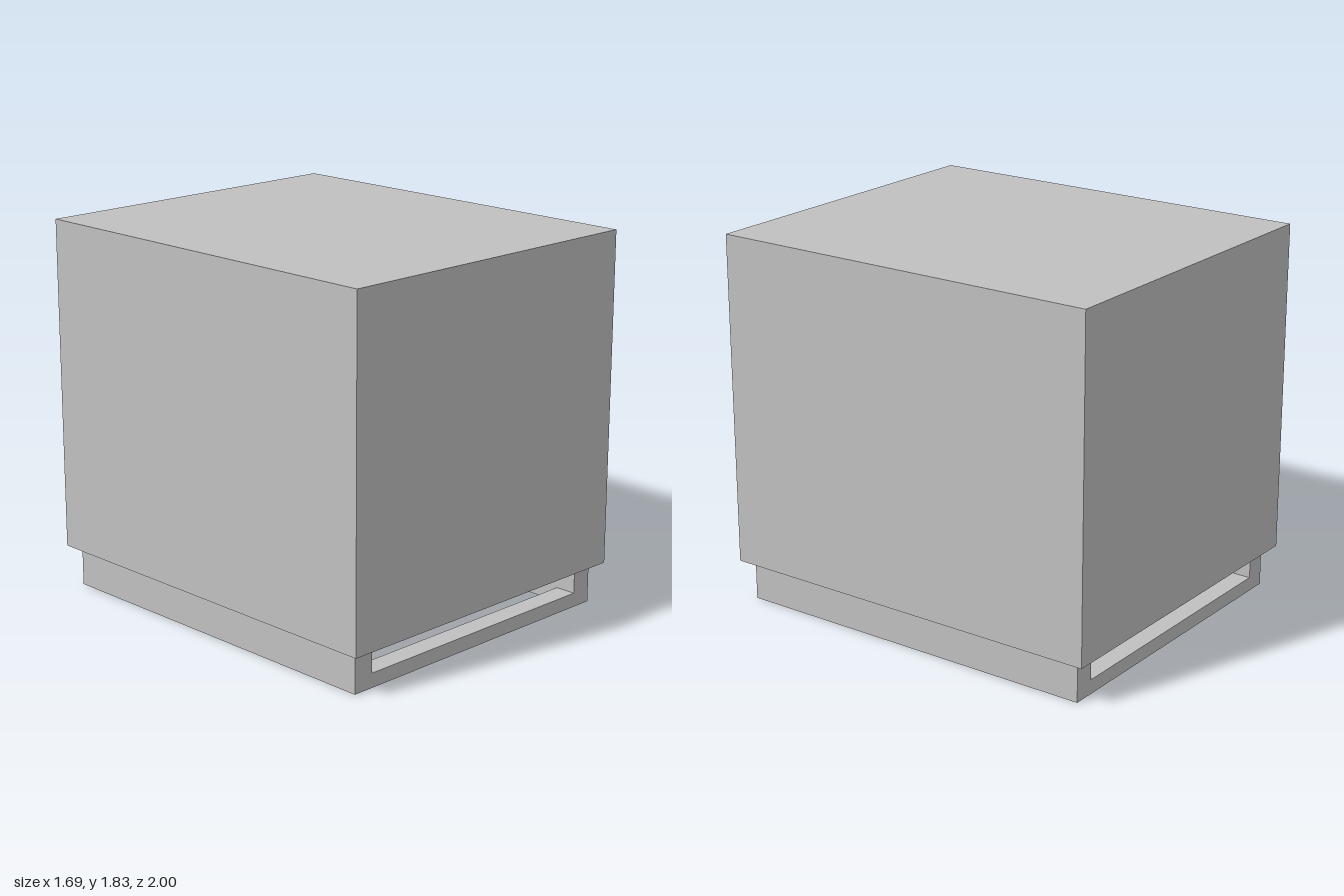
import * as THREE from 'three';

// Rectangular path centred on x = 0
function rect(PathType, halfW, y0, y1) {
  const p = new PathType();
  p.moveTo(-halfW, y0);
  p.lineTo(halfW, y0);
  p.lineTo(halfW, y1);
  p.lineTo(-halfW, y1);
  p.closePath();
  return p;
}

// Rectangular plate with one rectangular opening
function framedPlate(outer, hole, depth) {
  const shape = rect(THREE.Shape, ...outer);
  shape.holes.push(rect(THREE.Path, ...hole));
  return new THREE.ExtrudeGeometry(shape, { depth, bevelEnabled: false });
}

export function createModel() {
  const grey = new THREE.MeshStandardMaterial({ color: 0xc0c0c0 });
  grey.name = 'light grey';
  const model = new THREE.Group();
  model.name = 'cabinetOnPlinth';

  const add = (name, geometry, x, y, z) => {
    const mesh = new THREE.Mesh(geometry, grey);
    mesh.name = name;
    mesh.position.set(x, y, z);
    model.add(mesh);
    return mesh;
  };

  const bodyX = 0.845, bodyZ = 1, bodyBottom = 0.2, bodyTop = 1.83;
  const baseX = 0.795, baseZ = 0.945, wall = 0.105;
  const underside = 0.26, skirt = 0.015;

  // Main block, with a thin skirt hanging around its recessed underside
  add('body', new THREE.BoxGeometry(bodyX * 2, bodyTop - underside, bodyZ * 2),
    0, (bodyTop + underside) / 2, 0);
  const skirtGeometry = framedPlate(
    [bodyX, -bodyZ, bodyZ],
    [bodyX - skirt, -bodyZ + skirt, bodyZ - skirt],
    underside - bodyBottom);
  skirtGeometry.rotateX(-Math.PI / 2);
  add('bodySkirt', skirtGeometry, 0, bodyBottom, 0);

  // Plinth front and back, each with a long slot
  const slotted = framedPlate([baseX, 0, underside], [baseX - wall, 0.07, 0.18], wall);
  add('plinthFront', slotted, 0, 0, baseZ - wall);
  add('plinthBack', slotted, 0, 0, -baseZ);

  // Plinth side walls
  const innerZ = (baseZ - wall) * 2;
  const side = new THREE.BoxGeometry(wall, underside, innerZ);
  for (const [name, s] of [['plinthLeft', 1], ['plinthRight', -1]]) {
    add(name, side, s * (baseX - wall / 2), underside / 2, 0);
  }

  // Panel closing the plinth at slot height
  add('plinthCeiling', new THREE.BoxGeometry((baseX - wall) * 2, underside - 0.18, innerZ),
    0, (underside + 0.18) / 2, 0);

  return model;
}
